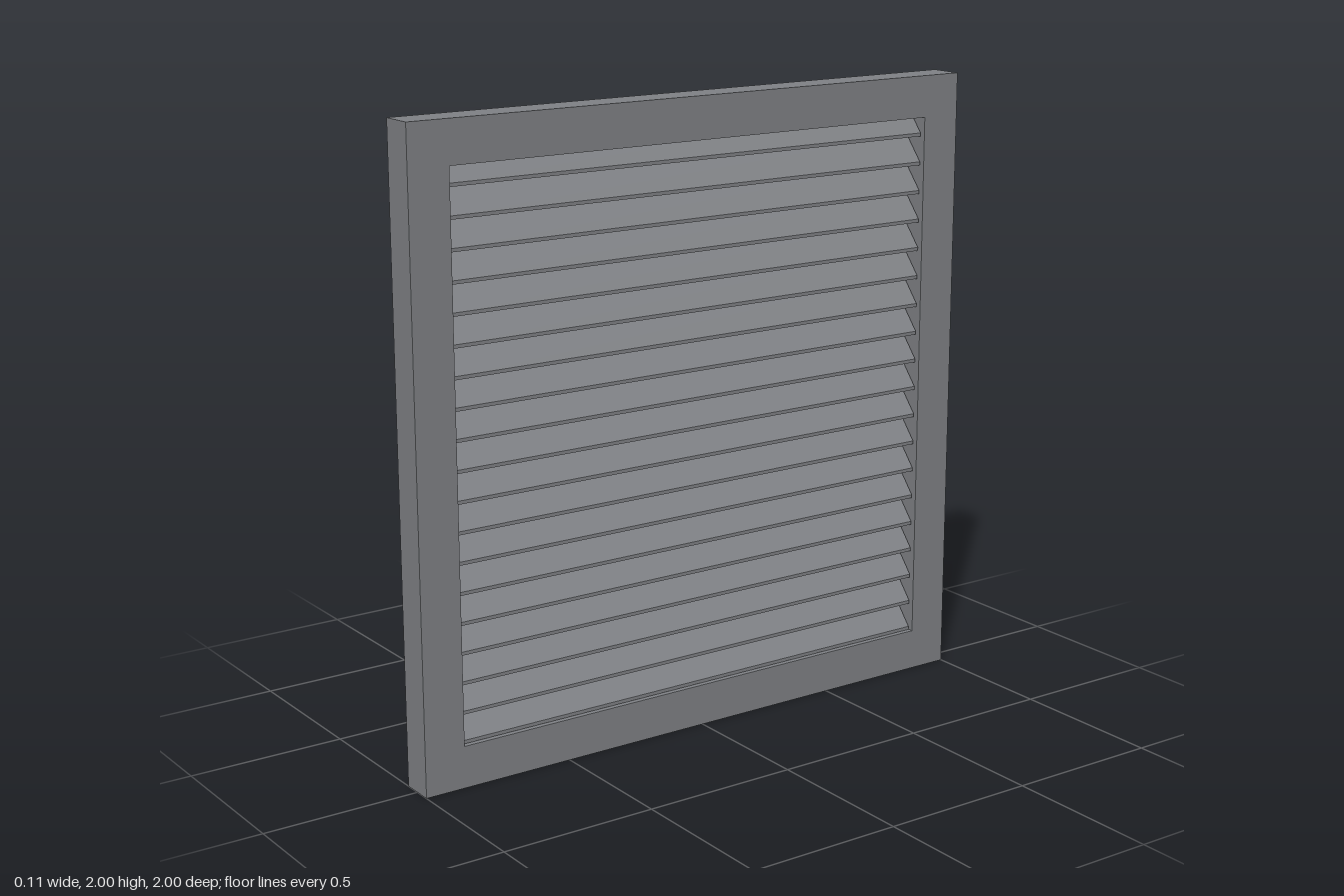
import * as THREE from 'three';

const HALF_DEPTH = 0.055;
const OPEN = 0.867; // half width of the square opening
const SLATS = 19;
const PITCH = 0.0928;
const BACK_X = -0.03;
const LIP_X = 0.042;

// Extrudes a shape drawn in (x, y) along z, centred on z = 0
function extrudeCentred(shape, depth) {
  const geometry = new THREE.ExtrudeGeometry(shape, { depth, bevelEnabled: false });
  return geometry.translate(0, 0, -depth / 2);
}

function polygon(points) {
  return new THREE.Shape(points.map(([x, y]) => new THREE.Vector2(x, y)));
}

function square(half) {
  return [[-half, 1 - half], [half, 1 - half], [half, 1 + half], [-half, 1 + half]];
}

export function createModel() {
  const group = new THREE.Group();
  group.name = 'louverPanel';
  const grey = new THREE.MeshStandardMaterial({ color: 0x808286 });
  grey.name = 'grey metal';

  const add = (name, geometry) => {
    const mesh = new THREE.Mesh(geometry, grey);
    mesh.name = name;
    group.add(mesh);
    return mesh;
  };

  // Square frame with a square opening, facing sideways
  const outline = polygon(square(1));
  outline.holes.push(polygon(square(OPEN).reverse()));
  add('frame', extrudeCentred(outline, HALF_DEPTH * 2).rotateY(Math.PI / 2));

  // Flat plate closing the back, slightly recessed
  add('backPlate', new THREE.BoxGeometry(0.008, OPEN * 2, OPEN * 2).translate(BACK_X + 0.004, 1, 0));

  // Wedge slats: level underside, small upright lip, sloping top
  const slat = extrudeCentred(
    polygon([[BACK_X + 0.004, 0], [LIP_X, 0], [LIP_X, 0.011], [BACK_X + 0.004, PITCH]]),
    0.862 * 2
  );
  for (let i = 0; i < SLATS; i++) {
    add(`slat${i + 1}`, slat).position.y = 0.135 + i * PITCH;
  }

  return group;
}
